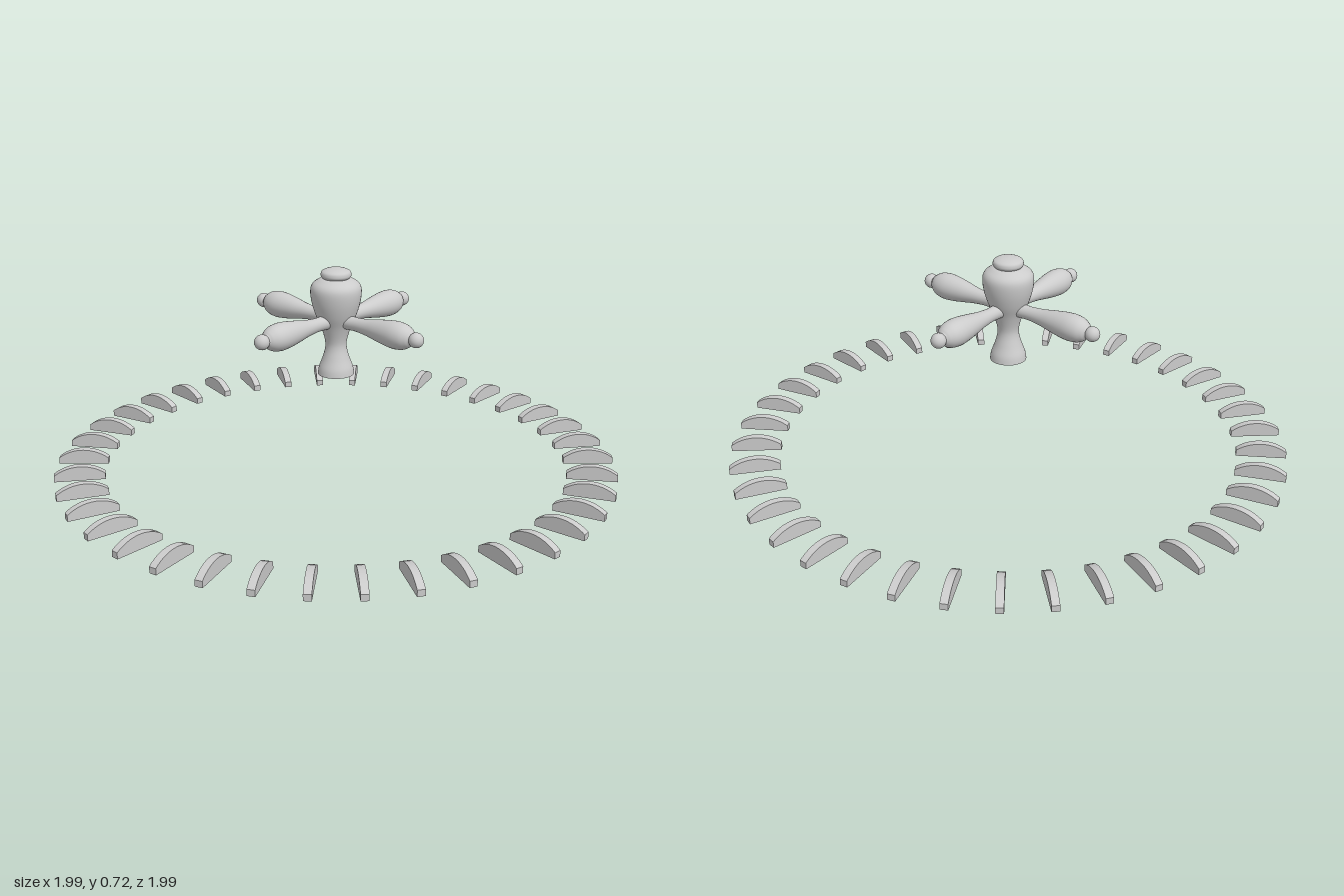
import * as THREE from 'three';

const material = new THREE.MeshStandardMaterial({ color: 0xcccccc, side: THREE.DoubleSide });

// Smooth lathe: a curve through [radius, height] points, spun about y
function turned(name, points, steps = 40, segments = 40) {
  const curve = new THREE.SplineCurve(points.map(([r, y]) => new THREE.Vector2(r, y)));
  const profile = curve.getPoints(steps).map((p) => new THREE.Vector2(Math.max(p.x, 0), p.y));
  const mesh = new THREE.Mesh(new THREE.LatheGeometry(profile, segments), material);
  mesh.name = name;
  return mesh;
}

// Upright hub with a flared foot, a bulging shoulder and a button cap
function createHub() {
  const hub = new THREE.Group();
  hub.name = 'hub';
  const body = turned('hubBody', [
    [0.064, 0.342], [0.06, 0.367], [0.048, 0.4], [0.038, 0.437], [0.039, 0.468],
    [0.053, 0.515], [0.072, 0.56], [0.085, 0.605], [0.089, 0.645], [0.081, 0.668],
    [0.06, 0.683], [0.042, 0.691], [0.037, 0.705],
  ], 60);
  const foot = new THREE.Mesh(new THREE.CircleGeometry(0.064, 40), material);
  foot.name = 'hubUnderside';
  foot.rotation.x = Math.PI / 2;
  foot.position.y = 0.342;
  const cap = turned('hubCap', [
    [0, 0.68], [0.035, 0.682], [0.05, 0.692], [0.053, 0.702], [0.048, 0.713], [0.028, 0.721], [0, 0.724],
  ]);
  hub.add(body, foot, cap);
  return hub;
}

// Handle arm, turned along y and then laid outwards
function createArm() {
  const arm = new THREE.Group();
  arm.name = 'arm';
  const grip = turned('armGrip', [
    [0.028, 0], [0.025, 0.06], [0.024, 0.1], [0.029, 0.15], [0.038, 0.2], [0.045, 0.245],
    [0.047, 0.28], [0.042, 0.31], [0.031, 0.33], [0.022, 0.339], [0.018, 0.347],
  ], 50, 32);
  const tip = new THREE.Mesh(new THREE.SphereGeometry(0.026, 24, 16), material);
  tip.name = 'armTip';
  tip.position.y = 0.358;
  arm.add(grip, tip);
  return arm;
}

// Flat segment with a straight underside, short ends and an arched top
function createFinGeometry() {
  const inner = 0.82, outer = 0.997, end = 0.022, top = 0.052, width = 0.026;
  const half = (outer - inner) / 2, rise = top - end;
  const radius = (half * half + rise * rise) / (2 * rise);
  const spread = Math.asin(half / radius);
  const shape = new THREE.Shape();
  shape.moveTo(inner, 0);
  shape.lineTo(outer, 0);
  shape.lineTo(outer, end);
  shape.absarc(inner + half, top - radius, radius, Math.PI / 2 - spread, Math.PI / 2 + spread, false);
  shape.lineTo(inner, 0);
  const geometry = new THREE.ExtrudeGeometry(shape, { depth: width, bevelEnabled: false, curveSegments: 12 });
  return geometry.translate(0, 0, -width / 2);
}

export function createModel() {
  const model = new THREE.Group();
  model.name = 'crossHandleWithRing';
  model.add(createHub());

  // Four arms in a cross
  for (let i = 0; i < 4; i++) {
    const pivot = new THREE.Group();
    pivot.name = 'armPivot';
    pivot.position.y = 0.54;
    pivot.rotation.y = (i * Math.PI) / 2;
    const arm = createArm();
    arm.rotation.z = -Math.PI / 2;
    pivot.add(arm);
    model.add(pivot);
  }

  // Ring of radial fins on the ground
  const ring = new THREE.Group();
  ring.name = 'finRing';
  const finGeometry = createFinGeometry();
  const count = 38;
  for (let i = 0; i < count; i++) {
    const fin = new THREE.Mesh(finGeometry, material);
    fin.name = 'fin';
    fin.rotation.y = Math.PI / 2 + (i * 2 * Math.PI) / count;
    ring.add(fin);
  }
  model.add(ring);
  return model;
}
